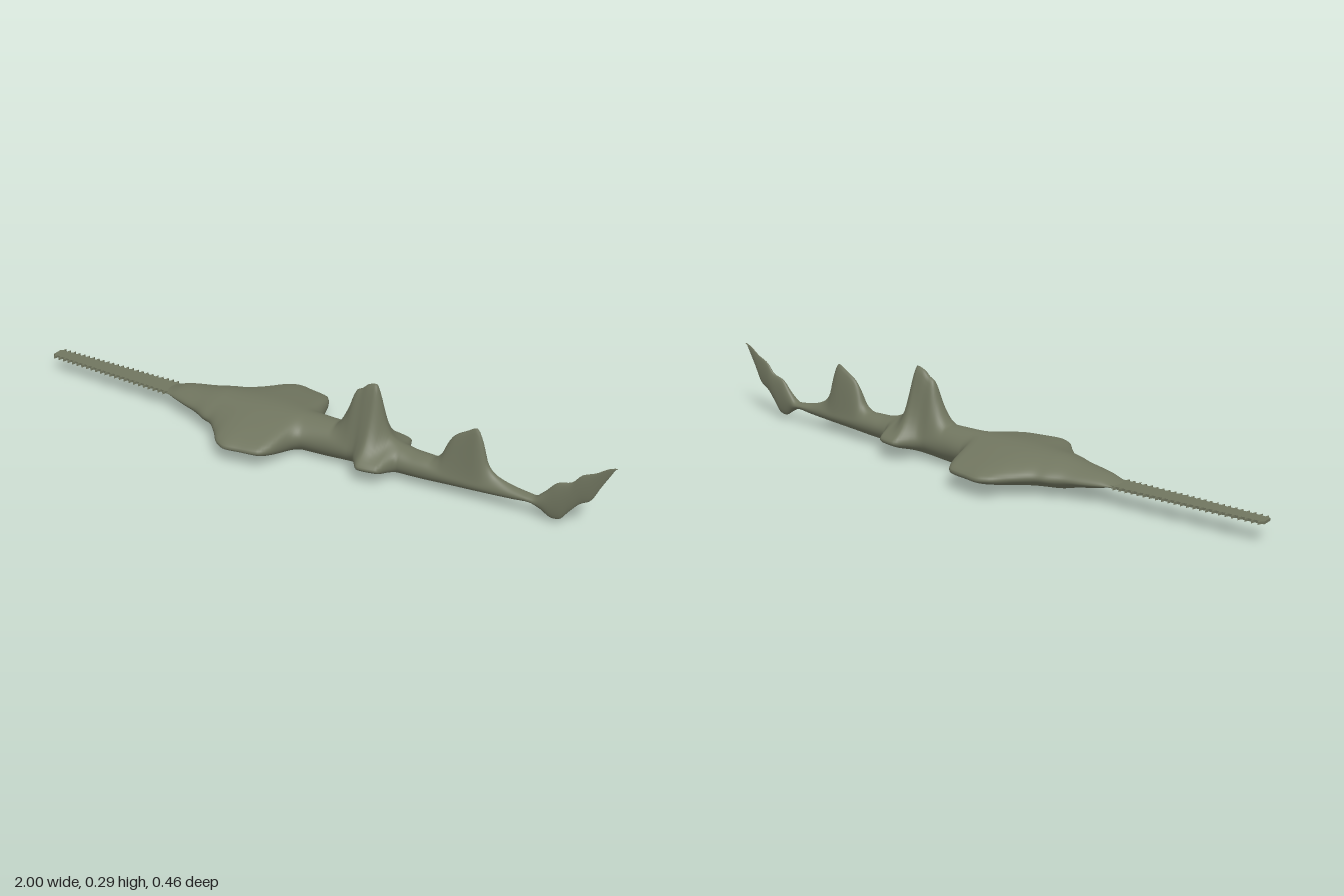
import * as THREE from 'three';

// Smooth monotone curve through flat [x, value, x, value, ...] pairs
function profile(p) {
  const n = p.length / 2, X = i => p[2 * i], Y = i => p[2 * i + 1];
  const slope = i => (Y(i + 1) - Y(i)) / (X(i + 1) - X(i));
  const tangent = i => {
    if (i === 0 || i === n - 1) return 0;
    const a = slope(i - 1), b = slope(i);
    return a * b <= 0 ? 0 : 2 * a * b / (a + b);
  };
  return x => {
    let i = 0;
    while (i < n - 2 && x > X(i + 1)) i++;
    const h = X(i + 1) - X(i), t = THREE.MathUtils.clamp((x - X(i)) / h, 0, 1);
    const t2 = t * t, t3 = t2 * t;
    return Y(i) * (2 * t3 - 3 * t2 + 1) + Y(i + 1) * (3 * t2 - 2 * t3)
      + h * (tangent(i) * (t3 - 2 * t2 + t) + tangent(i + 1) * (t3 - t2));
  };
}

// Body outline: heights of fins and back, belly and centre line
const topAt = profile([-0.54, 0.063, -0.52, 0.068, -0.47, 0.085, -0.4, 0.096, -0.3, 0.112, -0.1, 0.12, 0.1, 0.12,
  0.12, 0.14, 0.145, 0.19, 0.17, 0.253, 0.19, 0.265, 0.21, 0.283, 0.235, 0.29, 0.25, 0.25, 0.27, 0.165,
  0.29, 0.125, 0.33, 0.106, 0.38, 0.098, 0.43, 0.098, 0.46, 0.12, 0.48, 0.165, 0.5, 0.195, 0.54, 0.222, 0.57, 0.238,
  0.59, 0.2, 0.61, 0.13, 0.64, 0.098, 0.7, 0.078, 0.76, 0.071, 0.79, 0.095, 0.83, 0.138, 0.87, 0.152,
  0.9, 0.185, 0.94, 0.205, 0.98, 0.232, 1, 0.238]);
const backAt = profile([-0.54, 0.063, -0.52, 0.068, -0.47, 0.085, -0.4, 0.096, -0.3, 0.112, -0.1, 0.12, 0.1, 0.12,
  0.2, 0.116, 0.33, 0.105, 0.43, 0.097, 0.64, 0.088, 0.7, 0.077, 0.76, 0.071]);
const bellyAt = profile([-0.54, 0.061, -0.52, 0.058, -0.47, 0.045, -0.4, 0.03, -0.34, 0.015, -0.25, 0.009, -0.1, 0.003,
  0, 0, 0.08, 0.003, 0.15, 0.009, 0.25, 0.016, 0.4, 0.022, 0.5, 0.029, 0.6, 0.036, 0.7, 0.044, 0.75, 0.05,
  0.78, 0.038, 0.82, 0.016, 0.84, 0.019, 0.87, 0.055, 0.9, 0.09, 0.93, 0.11, 0.96, 0.168, 0.98, 0.205, 1, 0.237]);
const centreAt = x => x < 0.74 ? 0.062 : (topAt(x) + bellyAt(x)) / 2;

// Half widths: full reach of the paired fins, and the trunk alone
const reachAt = profile([-0.54, 0.03, -0.52, 0.035, -0.48, 0.05, -0.43, 0.066, -0.38, 0.08, -0.33, 0.105, -0.3, 0.115,
  -0.25, 0.16, -0.2, 0.215, -0.165, 0.229, -0.12, 0.221, -0.06, 0.209, -0.035, 0.18, -0.01, 0.1, 0.01, 0.076,
  0.05, 0.068, 0.1, 0.063, 0.17, 0.061, 0.19, 0.067, 0.21, 0.09, 0.24, 0.123, 0.3, 0.112, 0.315, 0.08, 0.33, 0.05,
  0.4, 0.045, 0.5, 0.037, 0.6, 0.03, 0.7, 0.022, 0.8, 0.015, 0.9, 0.008, 1, 0.002]);
const trunkAt = profile([-0.54, 0.03, -0.48, 0.048, -0.3, 0.085, -0.17, 0.12, -0.05, 0.1, 0, 0.067, 0.1, 0.062,
  0.17, 0.058, 0.3, 0.05, 0.4, 0.045, 0.5, 0.037, 0.6, 0.03, 0.7, 0.022, 0.8, 0.015, 0.9, 0.008, 1, 0.002]);

// Loft the body: the trunk is an oval, fins swell out of it as sharp ridges
function bodyGeometry(rings = 230, sides = 56) {
  const pos = [], index = [];
  for (let i = 0; i <= rings; i++) {
    const x = -0.54 + 1.54 * i / rings;
    const c = centreAt(x), top = topAt(x);
    const back = x < 0.74 ? Math.min(backAt(x), top) : top;
    const reach = reachAt(x), trunk = Math.min(trunkAt(x), reach);
    for (let j = 0; j < sides; j++) {
      const a = 2 * Math.PI * j / sides, s = Math.sin(a), k = Math.cos(a);
      const y = s > 0 ? c + (back - c) * s + (top - back) * s ** 4 : c + (c - bellyAt(x)) * s;
      pos.push(x, y, trunk * k + Math.sign(k) * (reach - trunk) * k ** 4);
      if (i < rings) {
        const p = i * sides + j, q = i * sides + (j + 1) % sides;
        index.push(p, p + sides, q, q, p + sides, q + sides);
      }
    }
  }
  const g = new THREE.BufferGeometry();
  g.setAttribute('position', new THREE.Float32BufferAttribute(pos, 3));
  g.setIndex(index);
  g.computeVertexNormals();
  return g;
}

// Flat saw blade with a row of teeth along each edge
function sawGeometry(teeth = 24) {
  const edge = [];
  const half = x => 0.02 + 0.014 * (x + 1) / 0.5;
  for (let i = 0; i < teeth; i++) {
    const x = -0.992 + 0.02 * i;
    edge.push([x, half(x)], [x + 0.004, half(x) + 0.013], [x + 0.009, half(x)]);
  }
  edge.unshift([-1, 0.017]);
  edge.push([-0.49, 0.034]);
  const mirrored = edge.map(([x, z]) => [x, -z]).reverse();
  const shape = new THREE.Shape([...edge, ...mirrored].map(([x, z]) => new THREE.Vector2(x, z)));
  const g = new THREE.ExtrudeGeometry(shape, { depth: 0.008, bevelEnabled: false });
  g.rotateX(-Math.PI / 2);
  g.translate(0, 0.058, 0);
  return g;
}

export function createModel() {
  const skin = new THREE.MeshStandardMaterial({ color: 0x70755f });
  skin.name = 'olive grey skin';
  const model = new THREE.Group();
  model.name = 'sawfish';
  const add = (name, geometry) => {
    const mesh = new THREE.Mesh(geometry, skin);
    mesh.name = name;
    model.add(mesh);
  };
  add('bodyAndFins', bodyGeometry());
  add('toothedSaw', sawGeometry());
  return model;
}
